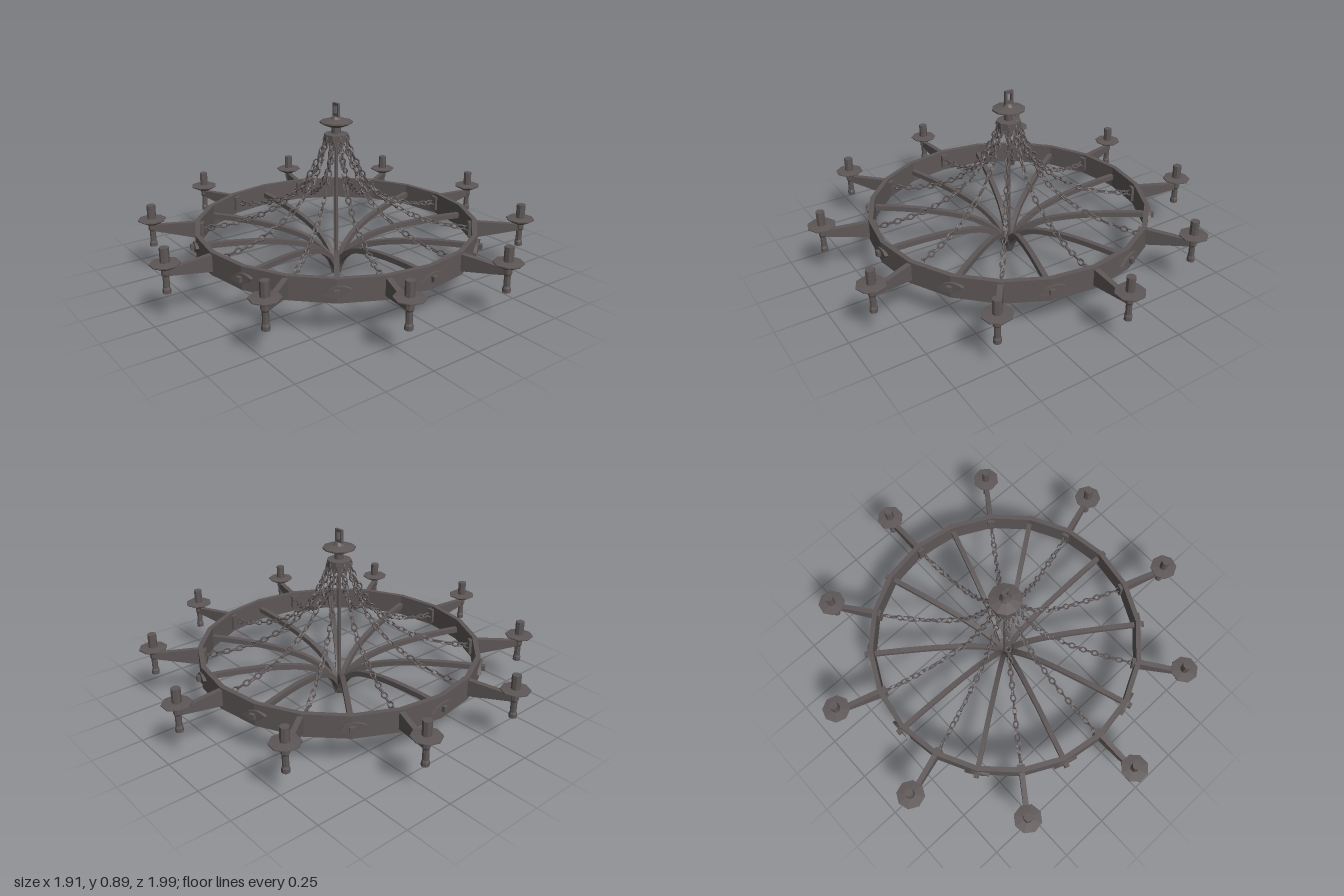
import * as THREE from 'three';
import { mergeGeometries } from 'three/addons/utils/BufferGeometryUtils.js';

const iron = new THREE.MeshStandardMaterial({ color: 0x5e5757, flatShading: true });
iron.name = 'wrought iron';

const v2 = (p) => new THREE.Vector2(p[0], p[1]);

function mesh(geometry, name) {
  const m = new THREE.Mesh(geometry, iron);
  m.name = name;
  return m;
}

function lathe(points, sides, name) {
  return mesh(new THREE.LatheGeometry(points.map(v2), sides), name);
}

// Plate drawn in (radius, height), standing along local +z
function radialPlate(points, width, name) {
  const g = new THREE.ExtrudeGeometry(new THREE.Shape(points), { depth: width, bevelEnabled: false });
  g.translate(0, 0, -width / 2);
  g.rotateY(-Math.PI / 2);
  return mesh(g, name);
}

// Flat bar following a curve in (radius, height)
function spokeBar() {
  const curve = new THREE.SplineCurve([[0.008, 0], [0.03, 0.065], [0.08, 0.125], [0.18, 0.18],
    [0.35, 0.215], [0.55, 0.23], [0.735, 0.232]].map(v2));
  const top = [], bottom = [], n = 18, h = 0.013;
  for (let i = 0; i <= n; i++) {
    const p = curve.getPoint(i / n), t = curve.getTangent(i / n);
    top.push(new THREE.Vector2(p.x - t.y * h, p.y + t.x * h));
    bottom.push(new THREE.Vector2(p.x + t.y * h, Math.max(0, p.y - t.x * h)));
  }
  return radialPlate([...bottom, ...top.reverse()], 0.025, 'spoke');
}

// Hanging chain of alternating links
function chain() {
  const curve = new THREE.CatmullRomCurve3([[0.05, 0.715], [0.095, 0.6], [0.155, 0.49], [0.24, 0.4],
    [0.36, 0.325], [0.5, 0.272], [0.665, 0.24]].map(([r, y]) => new THREE.Vector3(0, y, r)));
  const count = 25, links = [];
  for (let i = 0; i <= count; i++) {
    const p = curve.getPointAt(i / count), t = curve.getTangentAt(i / count);
    const g = new THREE.TorusGeometry(0.0125, 0.0042, 4, 8);
    g.scale(1.45, 1, 1);
    g.rotateX((i % 2) * Math.PI / 2 + Math.PI / 4 + 0.35 * Math.sin(i * 2.3));
    g.applyQuaternion(new THREE.Quaternion().setFromUnitVectors(new THREE.Vector3(1, 0, 0), t));
    g.translate(p.x, p.y, p.z);
    links.push(g);
  }
  return mesh(mergeGeometries(links), 'chain');
}

// Eye-shaped rosette on the outside of the ring
function rosette() {
  const s = new THREE.Shape();
  s.moveTo(-0.063, -0.012);
  s.quadraticCurveTo(-0.01, -0.042, 0.035, -0.012);
  s.lineTo(0.063, 0.012);
  s.quadraticCurveTo(0.01, 0.042, -0.035, 0.012);
  s.closePath();
  const g = new THREE.ExtrudeGeometry(s, { depth: 0.016, bevelEnabled: false, curveSegments: 5 });
  g.translate(0, 0.232, 0.702);
  return mesh(g, 'rosette');
}

// Arm with bracket, drip dish, candle cup and lower post
function candleArm() {
  const arm = new THREE.Group();
  arm.name = 'candleArm';
  const R = 0.93;
  arm.add(radialPlate([[0.685, 0.19], [R, 0.233], [R, 0.262], [0.685, 0.28]].map(v2), 0.026, 'arm'));
  const bracket = mesh(new THREE.BoxGeometry(0.036, 0.075, 0.025), 'chainBracket');
  bracket.position.set(0, 0.235, 0.68);
  const dish = lathe([[0, 0.262], [0.024, 0.264], [0.07, 0.288], [0.07, 0.293], [0.02, 0.297], [0, 0.297]], 8, 'dripDish');
  const cup = mesh(new THREE.CylinderGeometry(0.022, 0.022, 0.08, 8), 'candleCup');
  cup.position.y = 0.327;
  const post = lathe([[0, 0.148], [0.019, 0.148], [0.019, 0.168], [0.015, 0.178], [0.015, 0.23],
    [0.02, 0.24], [0.02, 0.268], [0, 0.268]], 8, 'lowerPost');
  for (const part of [dish, cup, post]) {
    part.position.z = R;
    part.rotation.y = Math.PI / 8;
    arm.add(part);
  }
  arm.add(bracket);
  return arm;
}

export function createModel() {
  const model = new THREE.Group();
  model.name = 'chandelier';

  // Main hoop
  model.add(lathe([[0.685, 0.175], [0.71, 0.175], [0.71, 0.288], [0.685, 0.288], [0.685, 0.175]], 20, 'hoop'));

  // Ten arms with chains, ten spokes between them
  for (let i = 0; i < 10; i++) {
    const sector = new THREE.Group();
    sector.name = 'armSector';
    sector.add(candleArm(), chain());
    sector.rotation.y = i * Math.PI / 5;
    const between = new THREE.Group();
    between.name = 'spokeSector';
    between.add(spokeBar(), rosette());
    between.rotation.y = (i + 0.5) * Math.PI / 5;
    model.add(sector, between);
  }

  // Central rod, hub and canopy
  const rod = mesh(new THREE.CylinderGeometry(0.009, 0.009, 0.7, 8), 'centreRod');
  rod.position.y = 0.35;
  model.add(rod);
  model.add(lathe([[0, 0], [0.018, 0], [0.018, 0.03], [0, 0.045]], 8, 'bottomTip'));
  model.add(lathe([[0, 0.685], [0.06, 0.685], [0.06, 0.735], [0.022, 0.738], [0.022, 0.768], [0.04, 0.772],
    [0.081, 0.79], [0.081, 0.797], [0.03, 0.808], [0.02, 0.822], [0, 0.822]], 10, 'hub'));

  // Hanging loop
  const loop = new THREE.Shape([[-0.022, 0.81], [0.022, 0.81], [0.022, 0.886], [-0.022, 0.886]].map(v2));
  loop.holes.push(new THREE.Path([[-0.011, 0.835], [-0.011, 0.872], [0.011, 0.872], [0.011, 0.835]].map(v2)));
  const loopGeometry = new THREE.ExtrudeGeometry(loop, { depth: 0.014, bevelEnabled: false });
  loopGeometry.translate(0, 0, -0.007);
  model.add(mesh(loopGeometry, 'hangingLoop'));

  return model;
}
